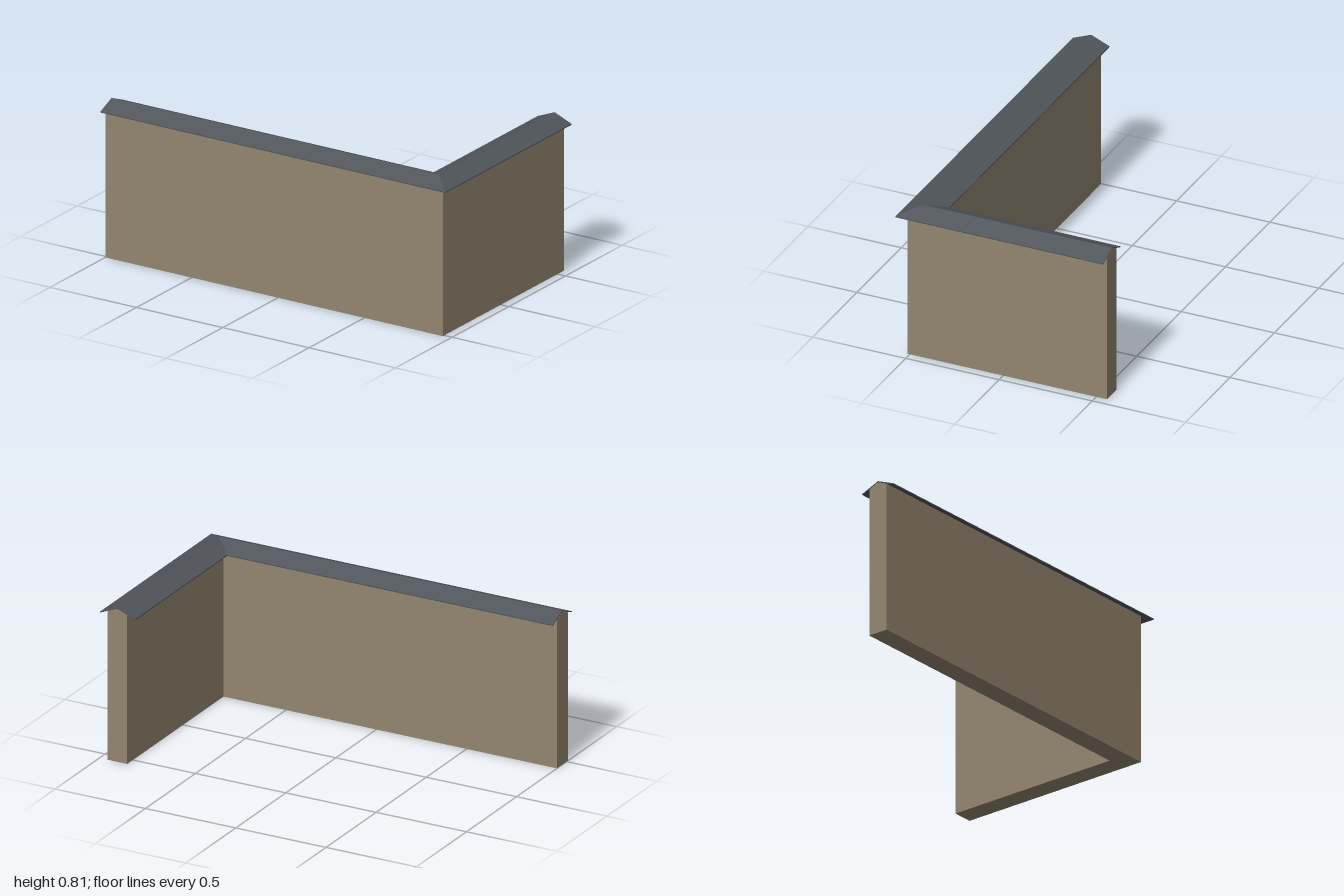
import * as THREE from 'three';

// Centre line of the wall: from the left end, round one mitred corner, to the back end
const CORNER_X = 0.9, CORNER_Z = 0.458, END_X = -1, END_Z = -0.557;

// Sweeps a counter-clockwise section of [outward offset, height] along the centre line
function sweepRoundCorner(section) {
  const stations = [
    ([d, y]) => [END_X, y, CORNER_Z + d],
    ([d, y]) => [CORNER_X + d, y, CORNER_Z + d],
    ([d, y]) => [CORNER_X + d, y, END_Z],
  ];
  const rings = stations.map((place) => section.map(place));
  const positions = [];
  const triangle = (a, b, c) => positions.push(...a, ...b, ...c);

  // Long faces
  for (let s = 0; s < rings.length - 1; s++) {
    section.forEach((_, i) => {
      const j = (i + 1) % section.length;
      const [p, q] = [rings[s], rings[s + 1]];
      triangle(p[i], q[i], q[j]);
      triangle(p[i], q[j], p[j]);
    });
  }

  // End caps
  const outline = section.map(([d, y]) => new THREE.Vector2(d, y));
  const last = rings[rings.length - 1];
  for (const [a, b, c] of THREE.ShapeUtils.triangulateShape(outline, [])) {
    triangle(rings[0][a], rings[0][b], rings[0][c]);
    triangle(last[a], last[c], last[b]);
  }

  const geometry = new THREE.BufferGeometry();
  geometry.setAttribute('position', new THREE.Float32BufferAttribute(positions, 3));
  geometry.computeVertexNormals();
  return geometry;
}

export function createModel() {
  const model = new THREE.Group();
  model.name = 'cornerWall';

  const plaster = new THREE.MeshStandardMaterial({ color: 0x938670 });
  plaster.name = 'tan plaster';
  const slate = new THREE.MeshStandardMaterial({ color: 0x50555b });
  slate.name = 'dark slate';

  const addPart = (name, section, material) => {
    const mesh = new THREE.Mesh(sweepRoundCorner(section), material);
    mesh.name = name;
    model.add(mesh);
  };

  // Wall with a gabled top that fits under the coping
  const half = 0.054;
  addPart('wall', [[-half, 0], [half, 0], [half, 0.78], [0, 0.803], [-half, 0.78]], plaster);

  // Thin pitched coping that overhangs both faces
  const eave = 0.098;
  addPart('coping', [
    [-eave, 0.764], [0, 0.804], [eave, 0.764],
    [eave, 0.769], [0, 0.809], [-eave, 0.769],
  ], slate);

  return model;
}
